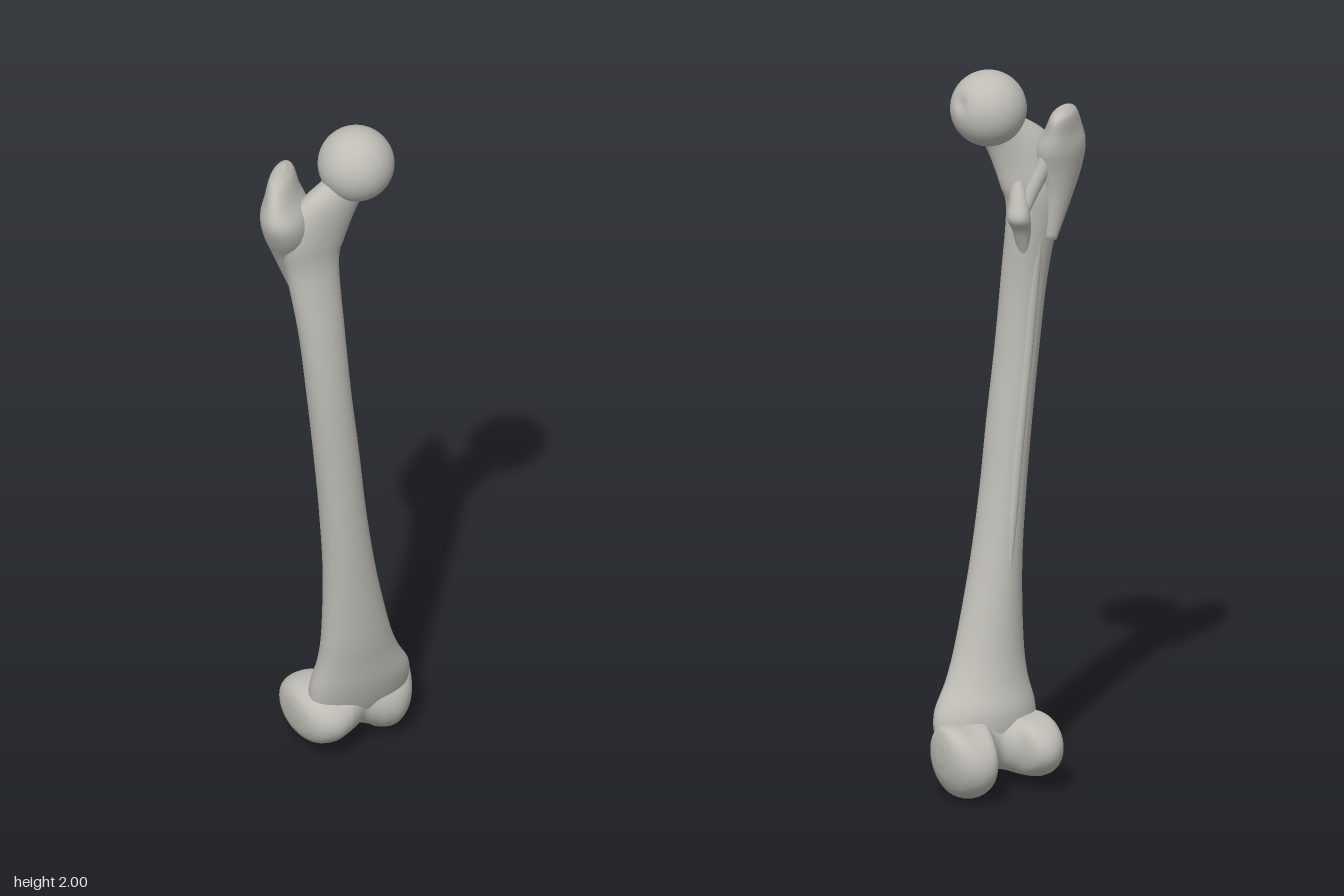
import * as THREE from 'three';

const bone = new THREE.MeshStandardMaterial({ color: 0xbebcb5 });
bone.name = 'bone grey';

// Smooth closed loft. Each row: centre x, y, z, radius along u, radius along z, tilt of u in degrees.
// egg narrows the back (-z) side of every ring.
function loft(name, rows, { steps = 8, sides = 40, egg = 0, tilt = 0 } = {}) {
  const centres = new THREE.CatmullRomCurve3(
    rows.map(r => new THREE.Vector3(r[0], r[1], r[2])), false, 'catmullrom', 0.5);
  const sizes = new THREE.CatmullRomCurve3(
    rows.map(r => new THREE.Vector3(r[3], r[4], THREE.MathUtils.degToRad(r[5] ?? tilt))), false, 'catmullrom', 0.5);
  const count = (rows.length - 1) * steps;
  const pos = [], index = [];
  for (let i = 0; i <= count; i++) {
    const c = centres.getPoint(i / count), s = sizes.getPoint(i / count);
    for (let j = 0; j < sides; j++) {
      const a = j / sides * Math.PI * 2;
      const u = s.x * Math.cos(a) * (1 + egg * Math.sin(a));
      pos.push(c.x + u * Math.cos(s.z), c.y + u * Math.sin(s.z), c.z + s.y * Math.sin(a));
    }
  }
  for (let i = 0; i < count; i++) {
    for (let j = 0; j < sides; j++) {
      const k = (j + 1) % sides;
      const a = i * sides + j, b = i * sides + k, c = a + sides, d = b + sides;
      index.push(a, b, c, b, d, c);
    }
  }
  // end caps
  const first = pos.length / 3, last = first + 1;
  pos.push(...rows[0].slice(0, 3), ...rows[rows.length - 1].slice(0, 3));
  for (let j = 0; j < sides; j++) {
    const k = (j + 1) % sides;
    index.push(first, k, j, last, count * sides + j, count * sides + k);
  }
  const geo = new THREE.BufferGeometry();
  geo.setAttribute('position', new THREE.Float32BufferAttribute(pos, 3));
  geo.setIndex(index);
  geo.computeVertexNormals();
  const mesh = new THREE.Mesh(geo, bone);
  mesh.name = name;
  return mesh;
}

// Ball of the joint with a shallow pit on its inner side
function makeHead() {
  const geo = new THREE.SphereGeometry(0.104, 64, 48);
  const pit = new THREE.Vector3(0.95, 0.3, -0.15).normalize();
  const p = geo.attributes.position, v = new THREE.Vector3();
  for (let i = 0; i < p.count; i++) {
    v.fromBufferAttribute(p, i);
    const angle = v.angleTo(pit);
    v.multiplyScalar(1 - 0.09 * Math.exp(-((angle / 0.2) ** 2)));
    p.setXYZ(i, v.x, v.y, v.z);
  }
  geo.computeVertexNormals();
  const head = new THREE.Mesh(geo, bone);
  head.name = 'head';
  head.position.set(0.03, 1.896, 0.066);
  return head;
}

export function createModel() {
  const model = new THREE.Group();
  model.name = 'thighBone';

  // Neck bending down into the bowed shaft, flaring at the knee
  const shaft = loft('neckAndShaft', [
    [0.02, 1.86, 0.066, 0.058, 0.055, -36],
    [-0.015, 1.825, 0.06, 0.064, 0.05, -34],
    [-0.065, 1.765, 0.05, 0.088, 0.055, -28],
    [-0.098, 1.69, 0.04, 0.098, 0.06, -12],
    [-0.098, 1.6, 0.04, 0.078, 0.058, 0],
    [-0.085, 1.4, 0.067, 0.065, 0.058, 0],
    [-0.069, 1.2, 0.079, 0.061, 0.061, 0],
    [-0.046, 1.0, 0.08, 0.062, 0.063, 0],
    [-0.023, 0.8, 0.076, 0.064, 0.064, 0],
    [0.004, 0.6, 0.066, 0.074, 0.066, 0],
    [0.032, 0.4, 0.05, 0.098, 0.07, 0],
    [0.05, 0.3, 0.034, 0.12, 0.073, 0],
    [0.067, 0.22, 0.015, 0.15, 0.08, 0],
    [0.07, 0.15, 0.005, 0.15, 0.07, 0],
    [0.07, 0.09, 0, 0.12, 0.05, 0],
  ], { egg: 0.12, sides: 48 });

  // Knee end, lofted across x: outer condyle, notch, inner condyle
  const condyles = loft('condyles', [
    [-0.114, 0.13, -0.02, 0.02, 0.025],
    [-0.105, 0.122, -0.026, 0.055, 0.075],
    [-0.08, 0.117, -0.03, 0.08, 0.115],
    [-0.04, 0.115, -0.033, 0.086, 0.133],
    [0, 0.12, -0.03, 0.082, 0.124],
    [0.03, 0.125, -0.01, 0.078, 0.09],
    [0.065, 0.13, -0.005, 0.078, 0.07],
    [0.1, 0.122, -0.01, 0.086, 0.087],
    [0.128, 0.108, -0.036, 0.096, 0.12],
    [0.17, 0.101, -0.046, 0.101, 0.126],
    [0.215, 0.112, -0.054, 0.096, 0.106],
    [0.243, 0.13, -0.058, 0.07, 0.068],
    [0.254, 0.138, -0.06, 0.028, 0.028],
  ], { tilt: 90, sides: 48 });

  // Large outer knob beside the neck, turned towards the back
  const greaterTrochanter = loft('greaterTrochanter', [
    [0.02, 1.892, -0.008, 0.035, 0.012],
    [0.017, 1.875, -0.006, 0.078, 0.03],
    [0, 1.83, 0, 0.098, 0.045],
    [-0.01, 1.78, 0.01, 0.105, 0.065],
    [-0.008, 1.72, 0.015, 0.085, 0.063],
    [0.008, 1.64, 0.015, 0.05, 0.042],
    [0.03, 1.52, 0.03, 0.015, 0.02],
  ]);
  greaterTrochanter.position.x = -0.165;
  greaterTrochanter.rotation.y = Math.PI / 4;

  // Small knob on the inner back
  const lesserTrochanter = loft('lesserTrochanter', [
    [-0.035, 1.7, 0.022, 0.015, 0.02],
    [-0.027, 1.64, 0.002, 0.025, 0.028],
    [-0.023, 1.595, -0.006, 0.031, 0.033],
    [-0.042, 1.55, 0.01, 0.025, 0.024],
    [-0.062, 1.46, 0.035, 0.01, 0.015],
  ]);

  // Low crest joining the two knobs at the back
  const crest = loft('trochantericCrest', [
    [-0.115, 1.82, -0.03, 0.02, 0.02],
    [-0.095, 1.74, -0.022, 0.024, 0.02],
    [-0.06, 1.66, -0.008, 0.022, 0.02],
    [-0.035, 1.6, -0.002, 0.015, 0.02],
  ], { sides: 20 });

  // Rough line down the back of the shaft
  const ridge = loft('backRidge', [
    [-0.095, 1.56, 0.0, 0.01, 0.012],
    [-0.085, 1.4, 0.02, 0.016, 0.015],
    [-0.069, 1.2, 0.029, 0.016, 0.016],
    [-0.046, 1.0, 0.028, 0.016, 0.016],
    [-0.023, 0.8, 0.023, 0.016, 0.016],
    [0, 0.6, 0.014, 0.012, 0.014],
    [0.015, 0.45, 0.005, 0.006, 0.008],
  ], { sides: 20 });

  model.add(shaft, makeHead(), condyles, greaterTrochanter, lesserTrochanter, crest, ridge);
  return model;
}
